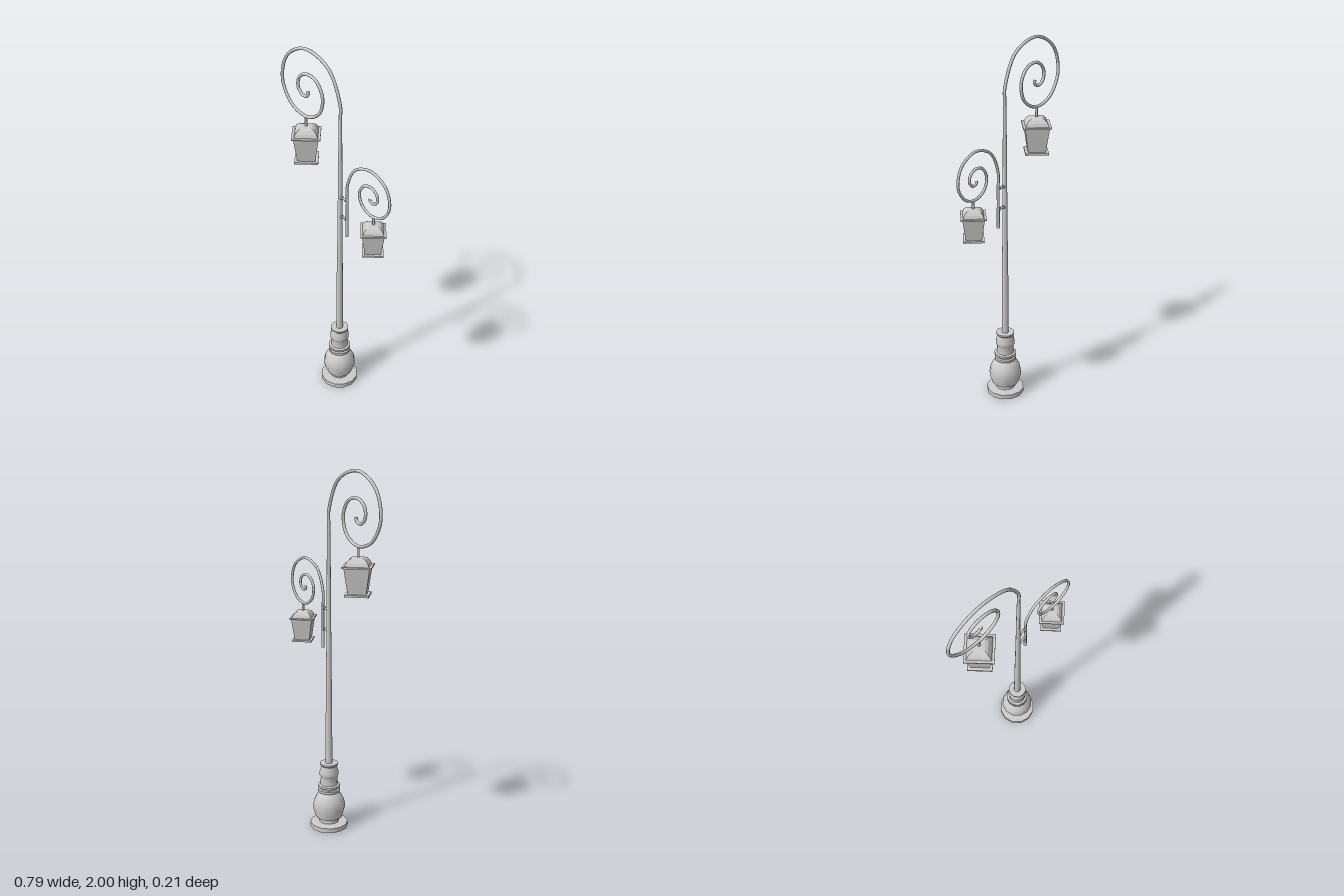
import * as THREE from 'three';
import { toCreasedNormals } from 'three/addons/utils/BufferGeometryUtils.js';

const smooth = new THREE.MeshStandardMaterial({ color: 0xcccccc });
const flat = new THREE.MeshStandardMaterial({ color: 0xcccccc, flatShading: true });
const POLE_X = 0.04;

function add(parent, name, geometry, material = smooth) {
  const mesh = new THREE.Mesh(geometry, material);
  mesh.name = name;
  parent.add(mesh);
  return mesh;
}

// Turned shape from [radius, y] pairs, listed bottom to top
function turned(profile, sides) {
  return new THREE.LatheGeometry(profile.map(([r, y]) => new THREE.Vector2(r, y)), sides);
}

// Scroll that rises from a straight post and winds inwards; dir is the side it curls to
function scroll(cx, cy, size, dir, postBottom, radius) {
  const radii = [0.245, 0.234, 0.222, 0.203, 0.182, 0.161, 0.145, 0.132, 0.118,
    0.105, 0.09, 0.077, 0.062, 0.045, 0.03, 0.018, 0.008];
  const postX = cx - dir * radii[0] * size;
  const pts = [0, 0.35, 0.7].map(t =>
    new THREE.Vector3(postX, THREE.MathUtils.lerp(postBottom, cy, t), 0));
  radii.forEach((r, i) => {
    const a = i * Math.PI / 4;
    pts.push(new THREE.Vector3(cx - dir * Math.cos(a) * r * size, cy + Math.sin(a) * r * size, 0));
  });
  return new THREE.TubeGeometry(new THREE.CatmullRomCurve3(pts), 120, radius, 8);
}

// Four-sided lantern turned corner-on, hanging from its origin
function lantern(name, size, stemLength) {
  const group = new THREE.Group();
  group.name = name;
  const parts = {
    roof: [[0, -0.04], [0.088, -0.04], [0.078, -0.022], [0.06, -0.006], [0.042, 0], [0, 0.003]],
    eave: [[0, -0.047], [0.106, -0.047], [0.106, -0.039], [0, -0.039]],
    body: [[0, -0.182], [0.066, -0.182], [0.092, -0.046], [0, -0.046]],
    bottomPlate: [[0, -0.192], [0.088, -0.192], [0.088, -0.181], [0, -0.181]],
  };
  for (const [part, profile] of Object.entries(parts)) {
    add(group, part, turned(profile.map(([r, y]) => [r * size, y * size]), 4), flat);
  }
  const stem = add(group, 'stem', new THREE.CylinderGeometry(0.007, 0.007, stemLength, 8));
  stem.position.y = stemLength / 2 - 0.003;
  return group;
}

export function createModel() {
  const model = new THREE.Group();
  model.name = 'streetLamp';

  // Turned pedestal
  const base = add(model, 'base', toCreasedNormals(turned([
    [0, 0], [0.105, 0], [0.105, 0.026], [0.055, 0.03], [0.055, 0.06], [0.075, 0.06],
    [0.092, 0.12], [0.084, 0.16], [0.066, 0.195], [0.045, 0.212],
    [0.061, 0.212], [0.061, 0.226], [0.05, 0.228], [0.05, 0.238], [0.062, 0.24], [0.062, 0.252],
    [0.049, 0.256], [0.046, 0.3], [0.053, 0.31], [0.053, 0.33], [0.043, 0.364],
    [0.051, 0.372], [0.051, 0.381], [0, 0.381],
  ], 12), 0.7));
  base.position.x = POLE_X;

  // Tapering pole
  const pole = add(model, 'pole', turned([
    [0.019, 0.37], [0.017, 0.75], [0.0145, 0.95], [0.012, 1.25], [0.0105, 1.5], [0.008, 1.72],
  ], 10));
  pole.position.x = POLE_X;

  // Scroll arms
  add(model, 'largeScroll', scroll(-0.205, 1.77, 1, -1, 1.6, 0.0085));
  add(model, 'smallScroll', scroll(0.262, 1.347, 0.69, 1, 1.05, 0.0075));

  // Lower post sleeve of the small arm
  const sleeve = add(model, 'armSleeve', new THREE.CylinderGeometry(0.0085, 0.0085, 0.115, 8));
  sleeve.position.set(0.093, 1.092, 0);

  // Brackets joining the small arm to the pole
  for (const y of [1.14, 1.255]) {
    const bracket = add(model, 'bracket', new THREE.CylinderGeometry(0.006, 0.006, 0.053, 8));
    bracket.rotation.z = Math.PI / 2;
    bracket.position.set(0.067, y, 0);
    for (const x of [0.054, 0.084]) {
      const collar = add(model, 'bracketCollar', new THREE.CylinderGeometry(0.01, 0.01, 0.008, 8));
      collar.rotation.z = Math.PI / 2;
      collar.position.set(x, y, 0);
    }
  }

  // Hanging lanterns
  const large = lantern('largeLantern', 1, 0.055);
  large.position.set(-0.213, 1.568, 0);
  const small = lantern('smallLantern', 0.87, 0.045);
  small.position.set(0.283, 1.203, 0);
  model.add(large, small);

  return model;
}
